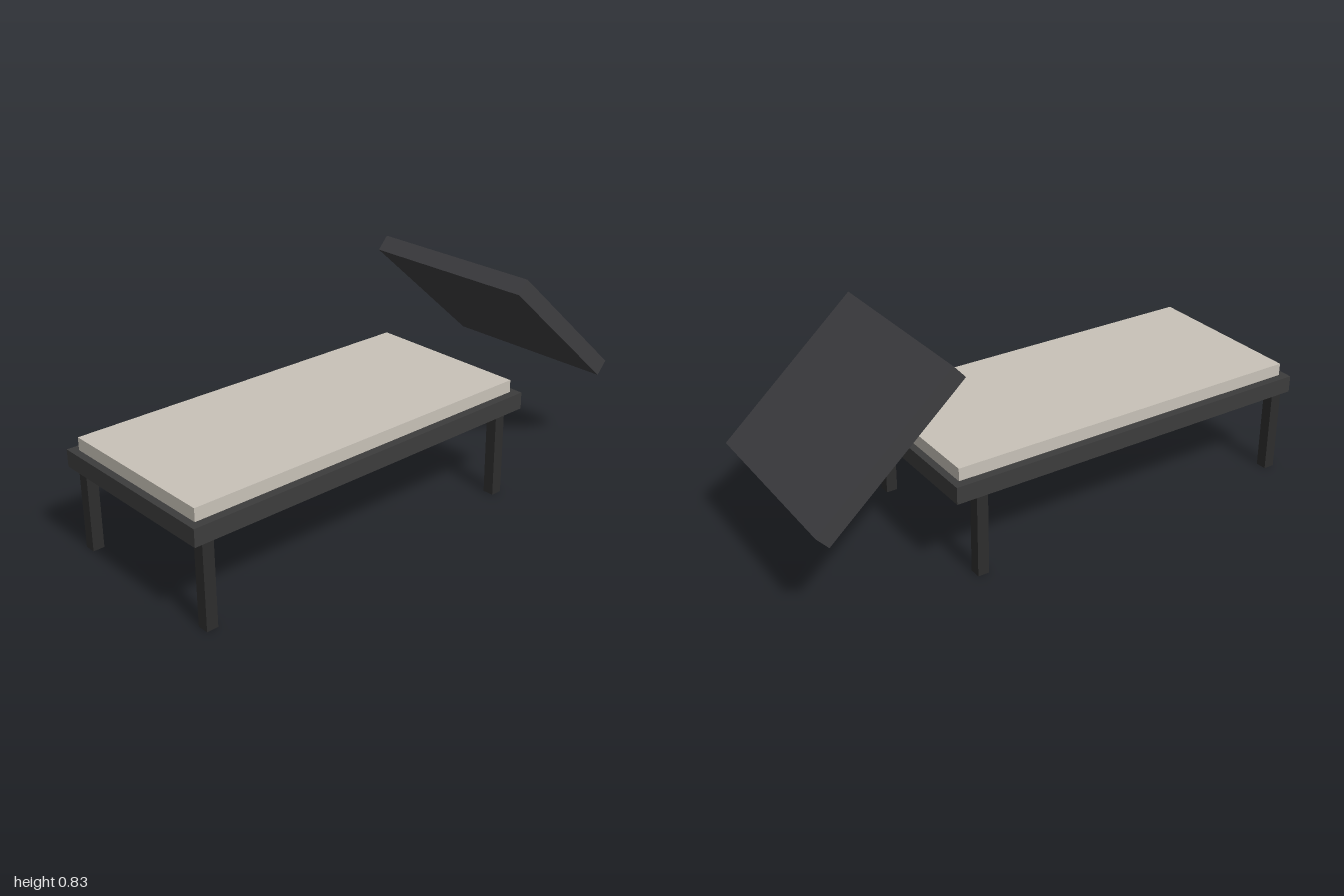
import * as THREE from 'three';

const material = (color) => new THREE.MeshStandardMaterial({ color });

export function createModel() {
  const group = new THREE.Group();
  const frameMat = material(0x3c3c3c);
  const legMat = material(0x2d2d2d);
  const backMat = material(0x3d3d40);
  const padMat = material(0xc8c2b8);

  const addBox = (name, [w, h, d], [x, y, z], mat) => {
    const mesh = new THREE.Mesh(new THREE.BoxGeometry(w, h, d), mat);
    mesh.name = name;
    mesh.position.set(x, y, z);
    group.add(mesh);
    return mesh;
  };

  // Flat bed: solid frame with a thin inset mattress on top
  addBox('frame', [0.728, 0.065, 1.493], [0, 0.3565, 0.2535], frameMat);
  addBox('mattress', [0.662, 0.048, 1.437], [0, 0.413, 0.2535], padMat);

  // Tilted backrest panel, raised at its front edge and clear of the frame
  const backrest = addBox('backrest', [0.728, 0.065, 0.683], [0, 0.5785, -0.7245], backMat);
  backrest.rotation.x = THREE.MathUtils.degToRad(-41.9);

  // Four square legs under the frame
  for (const [end, z] of [['front', 0.944], ['back', -0.389]]) {
    for (const [side, x] of [['Left', 0.332], ['Right', -0.332]]) {
      addBox(`${end}${side}Leg`, [0.044, 0.324, 0.044], [x, 0.162, z], legMat);
    }
  }
  return group;
}
